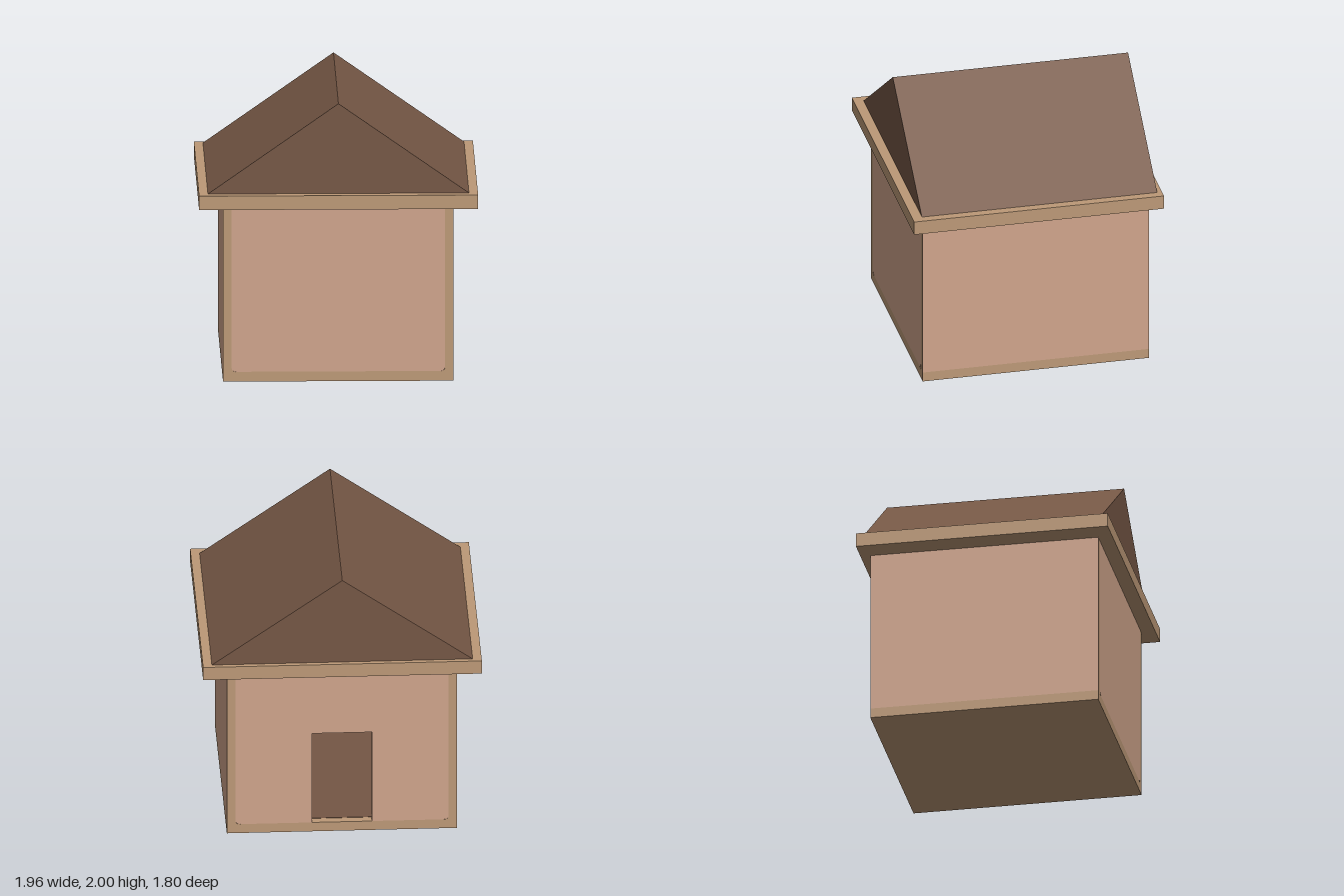
import * as THREE from 'three';

const mat = (name, color) => {
  const m = new THREE.MeshStandardMaterial({ color });
  m.name = name;
  return m;
};

export function createModel() {
  const house = new THREE.Group();
  house.name = 'house';
  const plaster = mat('pink plaster', 0xd0a58c);
  const trim = mat('tan trim', 0xbc9977);
  const wood = mat('brown roof', 0x755745);

  const add = (name, geometry, material) => {
    const mesh = new THREE.Mesh(geometry, material);
    mesh.name = name;
    house.add(mesh);
    return mesh;
  };
  // box given by its minimum and maximum corners
  const box = (name, [x0, y0, z0], [x1, y1, z1], material) =>
    add(name, new THREE.BoxGeometry(x1 - x0, y1 - y0, z1 - z0), material)
      .position.set((x0 + x1) / 2, (y0 + y1) / 2, (z0 + z1) / 2);

  const W = 0.81, IN = 0.75, FRONT = 0.8, BACK = -0.83, T = 0.06;
  const BASE = 0.07, TOP = 1.255, EAVE = 1.355;

  // base and interior floor
  box('base', [-W, 0, BACK], [W, BASE, FRONT], trim);
  box('floor', [-IN, BASE - 0.002, BACK + T], [IN, BASE + 0.003, FRONT - T], wood);

  // side walls: plaster faces with trim-coloured ends
  for (const s of [-1, 1]) {
    box(s > 0 ? 'leftWall' : 'rightWall',
      [s > 0 ? IN : -W, BASE, BACK], [s > 0 ? W : -IN, TOP, FRONT],
      [plaster, plaster, trim, trim, trim, trim]);
  }

  // front wall
  box('frontWall', [-IN, BASE, FRONT - T], [IN, TOP, FRONT], plaster);

  // back wall with a doorway reaching down to the base
  const D = 0.21, DOOR_TOP = 0.775;
  const wall = new THREE.Shape([
    [-IN, BASE], [-D, BASE], [-D, DOOR_TOP], [D, DOOR_TOP],
    [D, BASE], [IN, BASE], [IN, TOP], [-IN, TOP],
  ].map(([x, y]) => new THREE.Vector2(x, y)));
  add('backWall', new THREE.ExtrudeGeometry(wall, { depth: T, bevelEnabled: false }), plaster)
    .position.z = BACK;

  // rounded inner corners of the trim, front and back
  const R = 0.035;
  for (const s of [-1, 1]) {
    const corner = new THREE.Shape();
    corner.moveTo(s * IN, BASE);
    corner.lineTo(s * IN, BASE + R);
    corner.quadraticCurveTo(s * IN, BASE, s * (IN - R), BASE);
    corner.closePath();
    const geometry = new THREE.ExtrudeGeometry(corner, { depth: 0.004, bevelEnabled: false, curveSegments: 5 });
    add('frontTrimCorner', geometry, trim).position.z = FRONT - 0.002;
    add('backTrimCorner', geometry, trim).position.z = BACK - 0.002;
  }

  // eave slab
  box('eaveSlab', [-0.98, TOP, -0.9], [0.98, EAVE, 0.9], trim);

  // gabled roof
  const gable = new THREE.Shape([
    new THREE.Vector2(-0.917, EAVE), new THREE.Vector2(0.917, EAVE), new THREE.Vector2(0, 2),
  ]);
  add('roof', new THREE.ExtrudeGeometry(gable, { depth: 1.695, bevelEnabled: false }), wood)
    .position.z = -0.865;

  return house;
}
